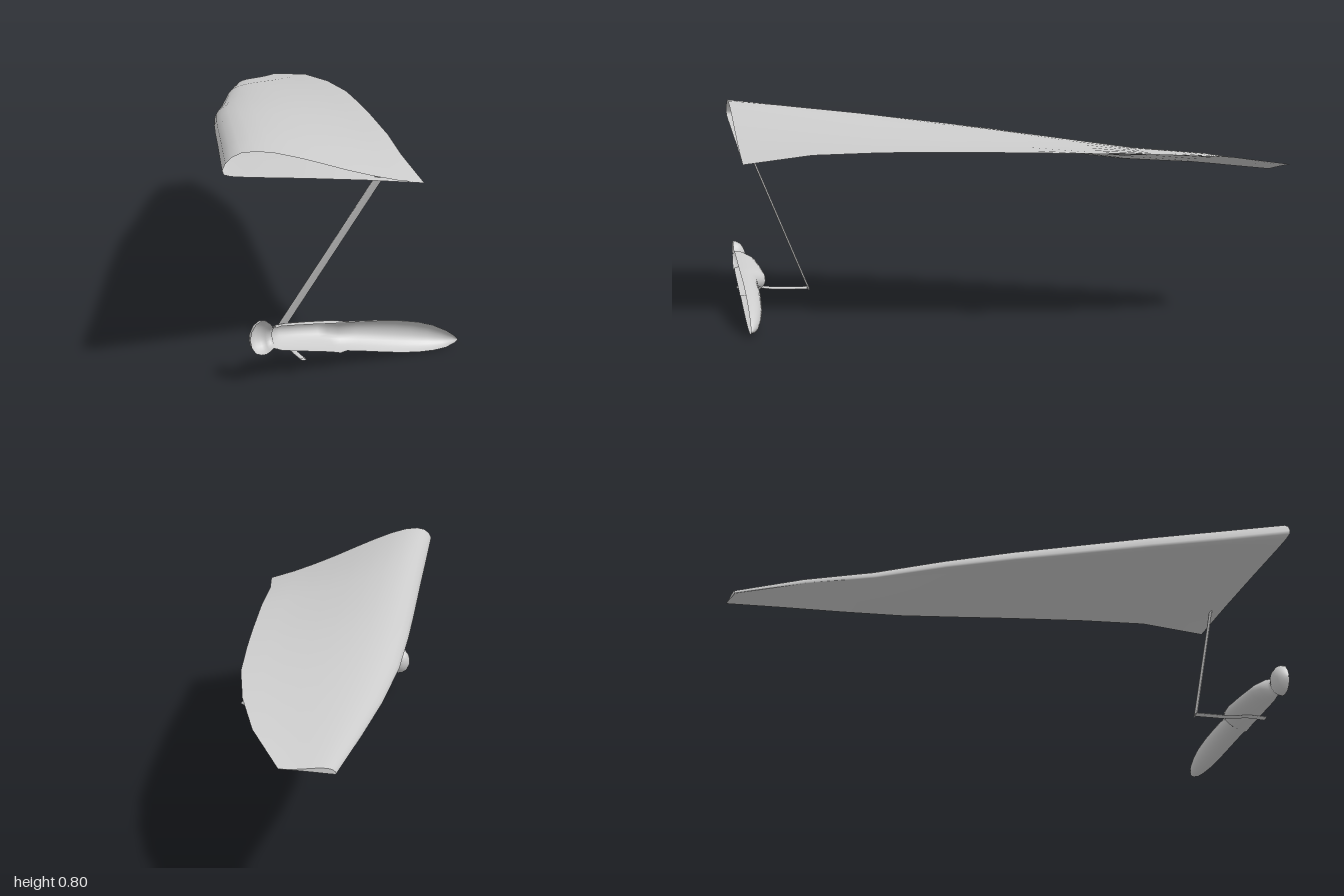
import * as THREE from 'three';

const material = new THREE.MeshStandardMaterial({ color: 0xcccccc, side: THREE.DoubleSide });

// Skin a list of equal-length cross-sections (each a list of [x, y, z]).
function loft(name, sections) {
  const n = sections[0].length;
  const index = [];
  for (let i = 0; i < sections.length - 1; i++) {
    for (let j = 0; j < n - 1; j++) {
      const a = i * n + j, b = a + n;
      index.push(a, b, a + 1, b, b + 1, a + 1);
    }
  }
  const geometry = new THREE.BufferGeometry();
  geometry.setAttribute('position', new THREE.Float32BufferAttribute(sections.flat(2), 3));
  geometry.setIndex(index);
  geometry.computeVertexNormals();
  const mesh = new THREE.Mesh(geometry, material);
  mesh.name = name;
  return mesh;
}

// Aerofoil from upper trailing edge round the nose to the lower trailing edge:
// [fraction of chord, offset above the chord line at the root]
const aerofoil = [
  [1, 0], [0.86, 0.005], [0.73, 0.016], [0.6, 0.031], [0.48, 0.048], [0.36, 0.064],
  [0.25, 0.075], [0.16, 0.077], [0.09, 0.069], [0.045, 0.053], [0.015, 0.031],
  [0, 0.006], [0.008, -0.006], [0.04, -0.01], [0.12, -0.01], [0.4, -0.004], [0.7, 0], [1, 0],
];

// Wing stations: z, leading edge x and y, trailing edge x and y, thickness scale
const stations = [
  [1, -0.605, 0.742, 0.15, 0.62, 1],
  [0.75, -0.5, 0.715, 0.21, 0.655, 0.97],
  [0.5, -0.395, 0.692, 0.3, 0.668, 0.9],
  [0.2, -0.27, 0.66, 0.4, 0.672, 0.82],
  [0, -0.185, 0.641, 0.465, 0.672, 0.74],
  [-0.25, -0.07, 0.614, 0.54, 0.67, 0.62],
  [-0.5, 0.07, 0.588, 0.585, 0.665, 0.5],
  [-0.75, 0.215, 0.584, 0.602, 0.65, 0.38],
  [-1, 0.375, 0.568, 0.57, 0.61, 0.22],
];

function buildWing() {
  const wing = new THREE.Group();
  wing.name = 'wing';
  const sections = stations.map(([z, lx, ly, tx, ty, s]) =>
    aerofoil.map(([f, h]) => [lx + (tx - lx) * f, ly + (ty - ly) * f + h * s, z]));
  wing.add(loft('sail', sections));

  // Flat closure at the wing tip
  const tip = new THREE.Shape(sections.at(-1).slice(0, -1).map(([x, y]) => new THREE.Vector2(x, y)));
  const cap = new THREE.Mesh(new THREE.ShapeGeometry(tip), material);
  cap.position.z = -1;
  cap.name = 'wingTip';
  wing.add(cap);
  return wing;
}

// Half body, open on the centre plane: x, top y, bottom y, half width
const bodyStations = [
  [-0.505, 0.163, 0.157, 0.003],
  [-0.5, 0.187, 0.13, 0.025],
  [-0.485, 0.21, 0.108, 0.042],
  [-0.465, 0.221, 0.1, 0.05],
  [-0.447, 0.217, 0.1, 0.05],
  [-0.432, 0.205, 0.107, 0.042],
  [-0.42, 0.19, 0.116, 0.034],
  [-0.408, 0.188, 0.113, 0.038],
  [-0.395, 0.191, 0.106, 0.065],
  [-0.36, 0.188, 0.098, 0.085],
  [-0.28, 0.179, 0.082, 0.097],
  [-0.2, 0.169, 0.066, 0.105],
  [-0.165, 0.165, 0.056, 0.102],
  [-0.14, 0.162, 0.06, 0.068],
  [-0.07, 0.154, 0.046, 0.067],
  [0, 0.145, 0.031, 0.066],
  [0.08, 0.131, 0.015, 0.062],
  [0.15, 0.114, 0.005, 0.056],
  [0.21, 0.093, 0.001, 0.046],
  [0.26, 0.067, 0.003, 0.033],
  [0.295, 0.042, 0.014, 0.015],
  [0.31, 0.026, 0.023, 0.002],
];

function buildBody() {
  const steps = 16;
  return loft('pilotAndHarness', bodyStations.map(([x, top, bottom, width]) =>
    Array.from({ length: steps + 1 }, (_, i) => {
      const a = Math.PI * i / steps;
      return [x, (top + bottom) / 2 + (top - bottom) / 2 * Math.cos(a), 1 - width * Math.sin(a)];
    })));
}

// Flattened tube: rings of half widths along two axes, centred on each point
function flatTube(name, points, toOffset, sides = 12) {
  return loft(name, points.map(([x, y, z]) =>
    Array.from({ length: sides + 1 }, (_, i) => {
      const a = 2 * Math.PI * i / sides;
      const [dx, dy, dz] = toOffset(Math.cos(a), Math.sin(a));
      return [x + dx, y + dy, z + dz];
    })));
}

export function createModel() {
  const model = new THREE.Group();
  model.name = 'halfGlider';
  model.add(buildWing(), buildBody());

  // Streamlined upright from the control bar up to the wing
  model.add(flatTube('upright', [[-0.265, 0.048, 0.715], [-0.005, 0.652, 0.962]],
    (c, s) => [0.015 * c, -0.006 * c, 0.004 * s]));

  // Control bar, swept forward towards the centre
  const barPath = new THREE.CatmullRomCurve3([
    [-0.308, 0.058, 1], [-0.305, 0.058, 0.93], [-0.283, 0.052, 0.85],
    [-0.275, 0.051, 0.79], [-0.265, 0.05, 0.713],
  ].map(p => new THREE.Vector3(...p)));
  model.add(flatTube('controlBar', barPath.getPoints(16).map(p => p.toArray()),
    (c, s) => [0.012 * c, 0.004 * s - 0.002 * c, 0]));

  return model;
}
